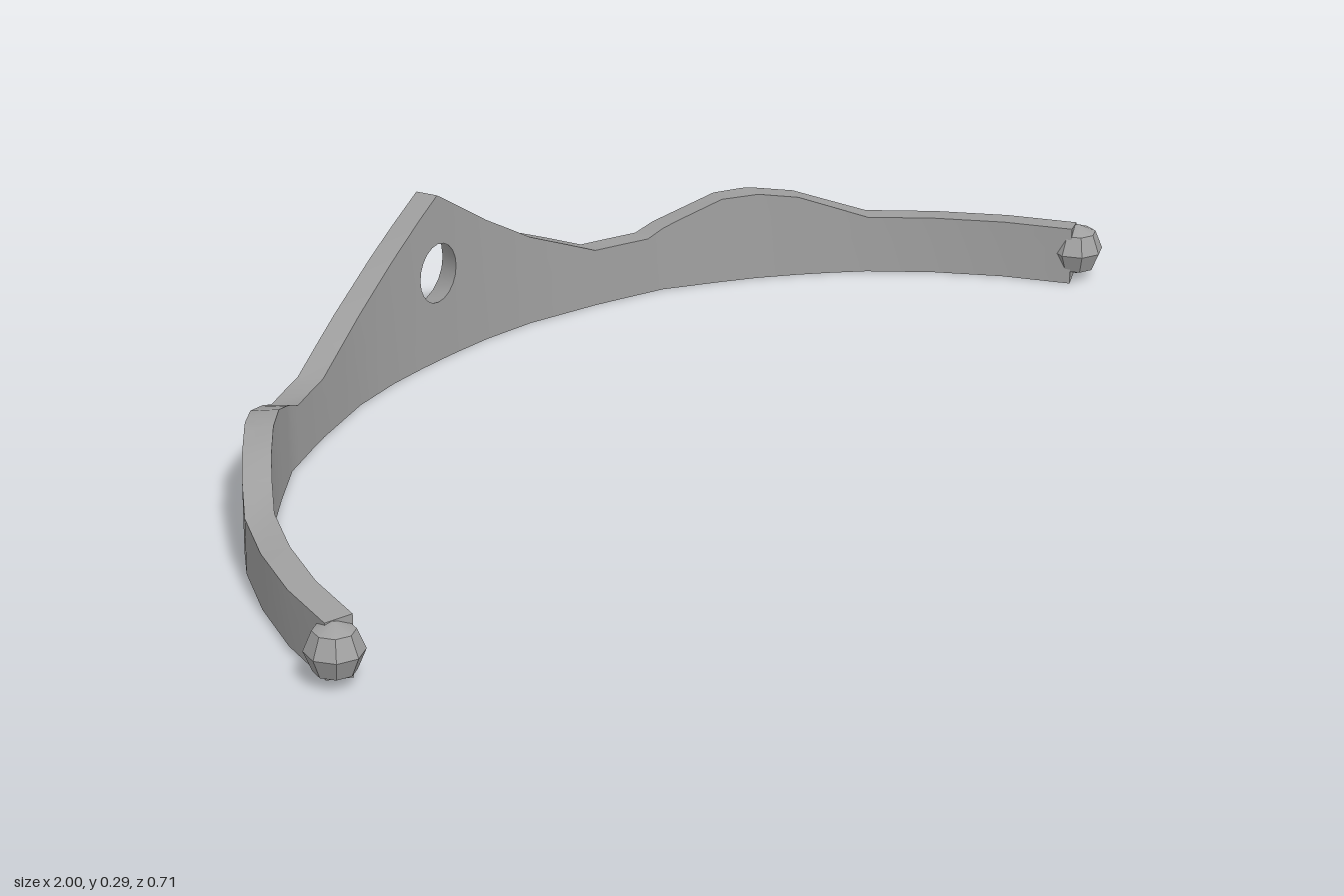
import * as THREE from 'three';
import { toCreasedNormals } from 'three/addons/utils/BufferGeometryUtils.js';

// Centreline of the band seen from above, as [x, z] for one half
const CURVE = [[0, -0.333], [0.1, -0.332], [0.22, -0.315], [0.36, -0.275], [0.48, -0.23],
  [0.61, -0.145], [0.7, -0.07], [0.77, 0], [0.84, 0.095], [0.9, 0.2], [0.945, 0.31]];
// Height of the top edge, as [x, y] for one half
const TOP = [[0, 0.291], [0.12, 0.213], [0.22, 0.155], [0.28, 0.13], [0.35, 0.1], [0.45, 0.099],
  [0.51, 0.126], [0.57, 0.152], [0.62, 0.155], [0.68, 0.143], [0.77, 0.1], [0.95, 0.1]];
const HALF = 0.022; // half the band thickness

// Openings: a flared eyelet in the middle and a conical gem seat on each side
const OPENINGS = [
  { x: -0.625, y: 0.113, inner: [0, 0], outer: [0.031, 0.037] },
  { x: 0, y: 0.155, inner: [0.045, 0.051], outer: [0.062, 0.065] },
  { x: 0.625, y: 0.113, inner: [0, 0], outer: [0.031, 0.037] },
];

function sample(table, x) {
  const a = Math.abs(x);
  let i = 0;
  while (i < table.length - 2 && a > table[i + 1][0]) i++;
  const [x0, v0] = table[i], [x1, v1] = table[i + 1];
  return v0 + (v1 - v0) * (a - x0) / (x1 - x0);
}

// Point on the band: offset is positive towards the outside (back)
function bandPoint(x, y, offset) {
  const d = 0.04;
  const slope = (sample(CURVE, x + d) - sample(CURVE, x - d)) / (2 * d);
  const n = Math.hypot(slope, 1);
  return [x + offset * slope / n, y, sample(CURVE, x) - offset / n];
}

// One column: four outer points then four inner points, each bottom to top
function column(xo, xi, outerGap, innerGap, y) {
  const to = sample(TOP, xo) - 0.004, ti = sample(TOP, xi);
  return [
    ...[0.006, y - outerGap, y + outerGap, to].map(v => bandPoint(xo, v, HALF)),
    ...[0, y - innerGap, y + innerGap, ti].map(v => bandPoint(xi, v, -HALF)),
  ];
}

function bandGeometry() {
  const columns = [];
  // Solid columns
  const half = [0.12, 0.17, 0.22, 0.28, 0.35, 0.4, 0.45, 0.48, 0.51, 0.57, 0.68, 0.72, 0.77, 0.84, 0.9, 0.945];
  for (const k of half) {
    for (const x of [-k, k]) {
      columns.push({ x, open: false, points: column(x, x, 0, 0, sample(TOP, x) * 0.6) });
    }
  }
  // Columns that run around each opening
  const steps = 10;
  for (const o of OPENINGS) {
    for (let i = 0; i <= steps; i++) {
      const c = -Math.cos(Math.PI * i / steps), s = Math.sin(Math.PI * i / steps);
      columns.push({
        x: o.x + c * o.outer[0], open: i < steps,
        points: column(o.x + c * o.outer[0], o.x + c * o.inner[0], s * o.outer[1], s * o.inner[1], o.y),
      });
    }
  }
  columns.sort((a, b) => a.x - b.x);

  const index = [];
  const quad = (a, b, c, d) => index.push(a, b, c, a, c, d);
  const skin = [[0, 1], [2, 3], [3, 7], [7, 6], [5, 4], [4, 0]];
  const wall = [[1, 5], [6, 2]];
  for (let i = 0; i < columns.length - 1; i++) {
    const p = i * 8, q = p + 8;
    for (const [a, b] of columns[i].open ? [...skin, ...wall] : skin) quad(p + a, p + b, q + b, q + a);
  }
  // End caps
  const e = (columns.length - 1) * 8;
  quad(4, 7, 3, 0);
  quad(e, e + 3, e + 7, e + 4);

  const g = new THREE.BufferGeometry();
  g.setAttribute('position', new THREE.Float32BufferAttribute(columns.flatMap(c => c.points.flat()), 3));
  g.setIndex(index);
  return toCreasedNormals(g, 0.6);
}

export function createModel() {
  const group = new THREE.Group();
  const metal = new THREE.MeshStandardMaterial({ color: 0xa0a0a0 });
  metal.name = 'grey metal';

  const band = new THREE.Mesh(bandGeometry(), metal);
  band.name = 'tiaraBand';
  group.add(band);

  // Rounded knobs on the two ends
  const knobGeometry = toCreasedNormals(new THREE.SphereGeometry(0.045, 8, 4), 0.6);
  for (const side of [-1, 1]) {
    const knob = new THREE.Mesh(knobGeometry, metal);
    knob.position.set(side * 0.955, 0.053, 0.31);
    knob.name = side > 0 ? 'leftEndKnob' : 'rightEndKnob';
    group.add(knob);
  }
  return group;
}
